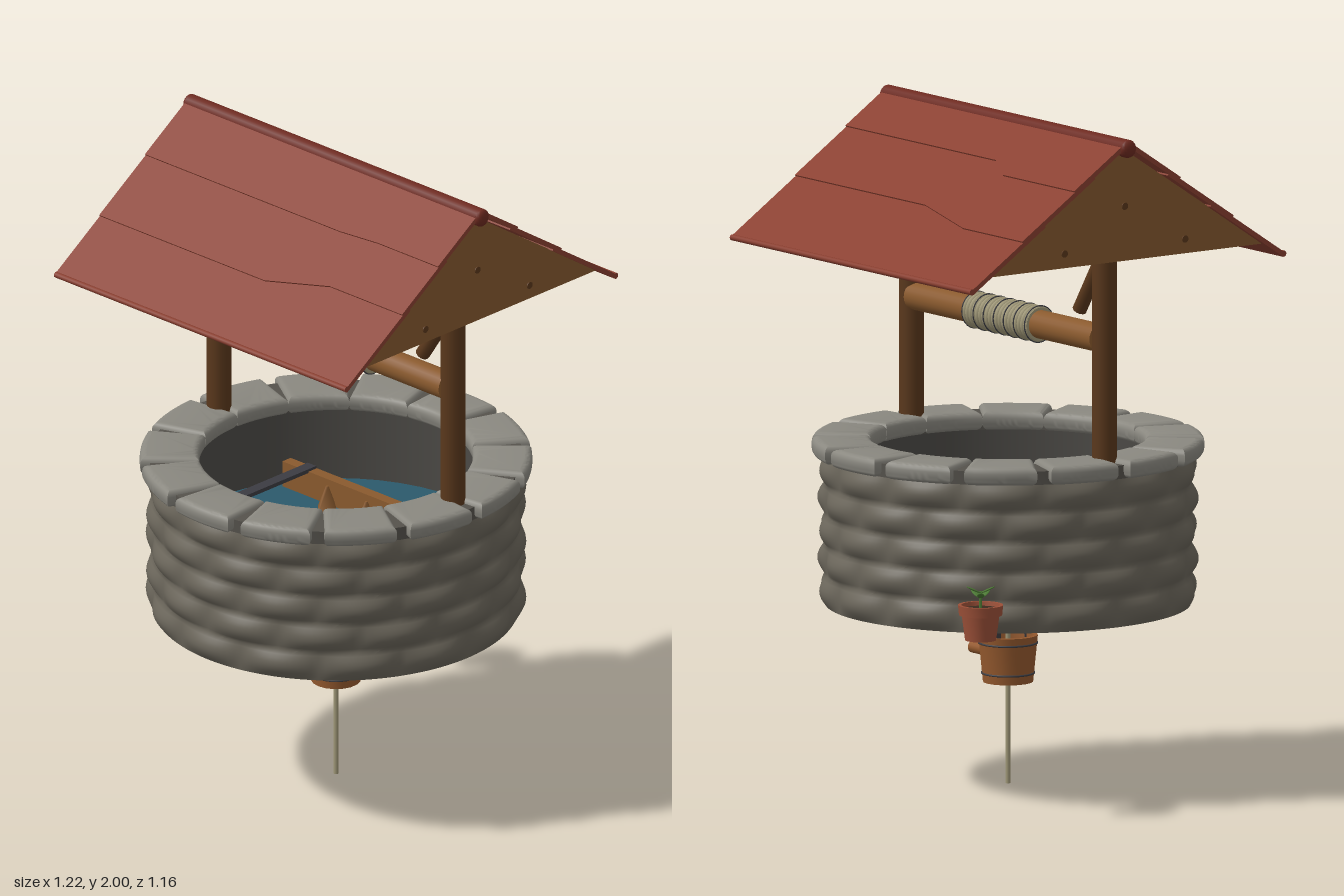
import * as THREE from 'three';
import { toCreasedNormals } from 'three/addons/utils/BufferGeometryUtils.js';

const mat = (color, side = THREE.FrontSide) => new THREE.MeshStandardMaterial({ color, side });
const M = {
  stone: mat(0x6a655a), cap: mat(0x8a8880), mortar: mat(0x55524c), inner: mat(0x4c4a46, THREE.DoubleSide),
  roof: mat(0x8a3f30), ridge: mat(0x6e2a20), post: mat(0x5a381c), wood: mat(0x8a5a2e), gable: mat(0x85592f),
  rope: mat(0xa09878), metal: mat(0x3c3c42), water: mat(0x2c5a6c, THREE.DoubleSide), bucket: mat(0x94592e),
  pot: mat(0x9c5038), soil: mat(0x3a2a1e), leaf: mat(0x4c7a34, THREE.DoubleSide),
};

function add(parent, name, geo, material, x = 0, y = 0, z = 0) {
  const mesh = new THREE.Mesh(geo, material);
  mesh.name = name;
  mesh.position.set(x, y, z);
  parent.add(mesh);
  return mesh;
}
const box = (w, h, d) => new THREE.BoxGeometry(w, h, d);
const cyl = (r0, r1, h, n = 20) => new THREE.CylinderGeometry(r0, r1, h, n);
const cylX = (r, h, n = 20) => cyl(r, r, h, n).rotateZ(Math.PI / 2);
const lathe = (pts, n = 48) =>
  toCreasedNormals(new THREE.LatheGeometry(pts.map(p => new THREE.Vector2(...p)), n), 0.6);
const ringBand = (r, t) => new THREE.TorusGeometry(r, t, 8, 32).rotateX(Math.PI / 2);

// Round wall with staggered, pillow-shaped stones
function bumpyWall() {
  const rows = 5, stones = 14, y0 = 0.538, h = 0.45;
  const geo = new THREE.CylinderGeometry(1, 1, h, 168, 40, true);
  const p = geo.attributes.position;
  for (let i = 0; i < p.count; i++) {
    const a = Math.atan2(p.getX(i), p.getZ(i));
    const v = (p.getY(i) / h + 0.5) * rows;
    const row = Math.min(rows - 1, Math.floor(v + 1e-6));
    const across = Math.abs(Math.cos(a * stones / 2 + (row % 2) * Math.PI / 2));
    const up = Math.abs(Math.sin(v * Math.PI));
    const r = 0.538 + 0.023 * up * (0.15 + 0.85 * across);
    p.setXYZ(i, Math.sin(a) * r, p.getY(i) + y0 + h / 2, Math.cos(a) * r);
  }
  return toCreasedNormals(geo, 1.2);
}

// One rounded coping stone centred on angle a; the joints open outwards
function capStone(a) {
  const b = 0.02, r0 = 0.402 + b, r1 = 0.577 - b, s = new THREE.Shape();
  s.absarc(0, 0, r1, a - 0.155, a + 0.155, false);
  s.absarc(0, 0, r0, a + 0.172, a - 0.172, true);
  const geo = new THREE.ExtrudeGeometry(s, {
    depth: 0.016, bevelSize: b, bevelThickness: b, bevelSegments: 4, curveSegments: 8 });
  return toCreasedNormals(geo.rotateX(-Math.PI / 2), 0.7);
}

function well(g) {
  add(g, 'stoneWall', bumpyWall(), M.stone);
  add(g, 'innerWall', new THREE.CylinderGeometry(0.515, 0.515, 0.44, 64, 1, true), M.inner, 0, 0.76, 0);
  add(g, 'wallFoot', new THREE.RingGeometry(0.515, 0.539, 64).rotateX(Math.PI / 2), M.stone, 0, 0.539, 0);
  add(g, 'mortarRing', lathe([[0.42, 0.982], [0.55, 0.982], [0.55, 1.022], [0.42, 1.022], [0.42, 0.982]], 56), M.mortar);
  const n = 14;
  for (let i = 0; i < n; i++)
    add(g, 'capStone', capStone(-Math.PI / 2 + i * 2 * Math.PI / n), M.cap, 0, 1.002, 0);
  add(g, 'water', new THREE.CircleGeometry(0.514, 48).rotateX(-Math.PI / 2), M.water, 0, 0.72, 0);
}

// Timber frame inside the shaft
function platform(g) {
  add(g, 'platformBoard', box(0.76, 0.03, 0.5), M.wood, 0, 0.63, 0);
  for (const s of [-1, 1]) {
    add(g, 'platformBeam', box(0.06, 0.06, 0.5), M.wood, s * 0.39, 0.585, 0);
    add(g, 'platformRail', box(0.86, 0.1, 0.035), M.wood, 0, 0.75, s * 0.235);
    add(g, 'platformStrap', box(0.04, 0.012, 0.5), M.metal, s * 0.2, 0.612, 0);
    add(g, 'railStrap', box(0.035, 0.012, 0.5), M.metal, s * 0.34, 0.802, 0);
  }
  for (const x of [-0.22, -0.06])
    add(g, 'railWedge', cyl(0.005, 0.04, 0.08, 4), M.wood, x, 0.755, -0.19);
}

function windlass(g) {
  for (const s of [-1, 1]) {
    add(g, 'post', cyl(0.037, 0.037, 0.8, 14), M.post, s * 0.478, 1.39, 0);
    add(g, 'brace', cyl(0.022, 0.022, 0.22, 12), M.post, s * 0.415, 1.553, 0).rotation.z = -s * 0.58;
    add(g, 'purlin', cylX(0.026, 1.1, 14), M.post, 0, 1.665, s * 0.27);
  }
  add(g, 'axle', cylX(0.042, 0.92, 24), M.wood, 0, 1.39, 0);
  // Rope wound on the axle, held by thin bands
  add(g, 'ropeDrum', cylX(0.05, 0.32, 24), M.rope, 0, 1.39, 0);
  for (let i = 0; i < 20; i++)
    add(g, 'ropeCoil', new THREE.TorusGeometry(0.046, 0.0085, 8, 28).rotateY(Math.PI / 2), M.rope,
      -0.152 + i * 0.016, 1.39, 0);
  for (const x of [-0.155, -0.1, -0.05, 0, 0.05, 0.1, 0.155])
    add(g, 'coilBand', new THREE.TorusGeometry(0.0545, 0.002, 6, 28).rotateY(Math.PI / 2), M.metal, x, 1.39, 0);
}

// Overlapping roof strips, eave first: [start down the slope, lower edge as [x, distance] pairs]
function roofSide(g, strips, turn) {
  const side = new THREE.Group();
  side.name = 'roofSlope';
  side.rotation.y = turn;
  g.add(side);
  strips.forEach(([start, edge], i) => {
    const s = new THREE.Shape();
    s.moveTo(-0.595, -start).lineTo(0.595, -start);
    [...edge].reverse().forEach(([x, v]) => s.lineTo(x, -v));
    const geo = new THREE.ExtrudeGeometry(s, { depth: 0.014, bevelEnabled: false });
    add(side, 'roofSheet', geo.translate(0, 0, i * 0.005), M.roof, 0, 1.968, 0).rotation.x = -(Math.PI / 2 - 0.584);
  });
}

function roof(g) {
  const eave = [[-0.595, 0.68], [0.595, 0.68]];
  roofSide(g, [[0.36, eave], [0.17, [[-0.595, 0.45], [0.08, 0.45], [0.3, 0.39], [0.595, 0.39]]],
    [0, [[-0.595, 0.215], [0.2, 0.215], [0.35, 0.205], [0.595, 0.205]]]], 0);
  roofSide(g, [[0.36, eave], [0.14, [[-0.595, 0.395], [0.05, 0.395], [0.3, 0.45], [0.595, 0.45]]],
    [0, [[-0.595, 0.17], [0.15, 0.17], [0.24, 0.22], [0.595, 0.22]]]], Math.PI);
  add(g, 'splitShingle', box(0.11, 0.008, 0.025), M.roof, 0.54, 1.892, 0.15).rotation.x = 0.584;

  add(g, 'ridgeCap', cylX(0.027, 1.19, 16), M.ridge, 0, 1.973, 0);
  for (const s of [-1, 1]) {
    add(g, 'ridgeEnd', new THREE.SphereGeometry(0.027, 16, 10).scale(0.55, 1, 1), M.ridge, s * 0.595, 1.973, 0);
    // Rolled eave edge
    add(g, 'eaveEdge', cylX(0.009, 1.19, 10), M.roof, 0, 1.603, s * 0.569);
    // Gable with three pegs
    const tri = new THREE.Shape();
    tri.moveTo(-0.505, 1.637).lineTo(0.505, 1.637).lineTo(0, 1.968);
    const geo = new THREE.ExtrudeGeometry(tri, { depth: 0.025, bevelEnabled: false });
    add(g, 'gable', geo.translate(0, 0, -0.0125).rotateY(Math.PI / 2), M.gable, s * 0.565, 0, 0);
    for (const [z, y] of [[0, 1.8], [-0.22, 1.68], [0.22, 1.68]])
      add(g, 'gablePeg', cylX(0.011, 0.032, 10), M.post, s * 0.565, y, z);
  }
}

function bucket(g) {
  const b = new THREE.Group();
  b.name = 'bucket';
  g.add(b);
  add(b, 'bucketBody', lathe([[0, 0.303], [0.074, 0.303], [0.088, 0.443], [0.076, 0.443], [0.066, 0.328], [0, 0.328]], 18), M.bucket);
  add(b, 'bucketBand', ringBand(0.077, 0.003), M.metal, 0, 0.33, 0);
  add(b, 'bucketBand', ringBand(0.086, 0.003), M.metal, 0, 0.42, 0);
  add(b, 'bucketSpout', cylX(0.018, 0.1, 14), M.bucket, 0.125, 0.383, 0);
  add(b, 'bucketHandle', new THREE.TorusGeometry(0.086, 0.003, 8, 28, Math.PI), M.metal, 0, 0.447, 0);
  add(b, 'bucketHanger', box(0.026, 0.2, 0.026), M.metal, 0.066, 0.52, 0);
  add(b, 'hangerArm', box(0.1, 0.024, 0.026), M.metal, 0.03, 0.585, 0);
  add(b, 'rope', cyl(0.008, 0.008, 0.62, 10), M.rope, 0, 0.31, 0);
}

// Potted plant behind the well
function flowerPot(g) {
  const p = new THREE.Group();
  p.name = 'flowerPot';
  p.position.set(-0.475, 0.538, -0.45);
  g.add(p);
  add(p, 'pot', lathe([[0, 0], [0.046, 0], [0.056, 0.075], [0.064, 0.075], [0.067, 0.105], [0.057, 0.105], [0.054, 0.085], [0, 0.085]], 24), M.pot);
  add(p, 'soil', cyl(0.054, 0.054, 0.006, 20), M.soil, 0, 0.09, 0);
  add(p, 'stem', cyl(0.004, 0.005, 0.06, 6), M.leaf, 0, 0.115, 0);
  for (let i = 0; i < 5; i++) {
    const leaf = new THREE.SphereGeometry(0.025, 10, 6).scale(1, 0.12, 0.45).translate(0.024, 0, 0);
    add(p, 'leaf', leaf, M.leaf, 0, 0.125 + (i % 2) * 0.015, 0).rotation.set(0, i * 1.257, 0.45);
  }
}

export function createModel() {
  const g = new THREE.Group();
  g.name = 'wishingWell';
  for (const build of [well, platform, windlass, roof, bucket, flowerPot]) build(g);
  return g;
}
